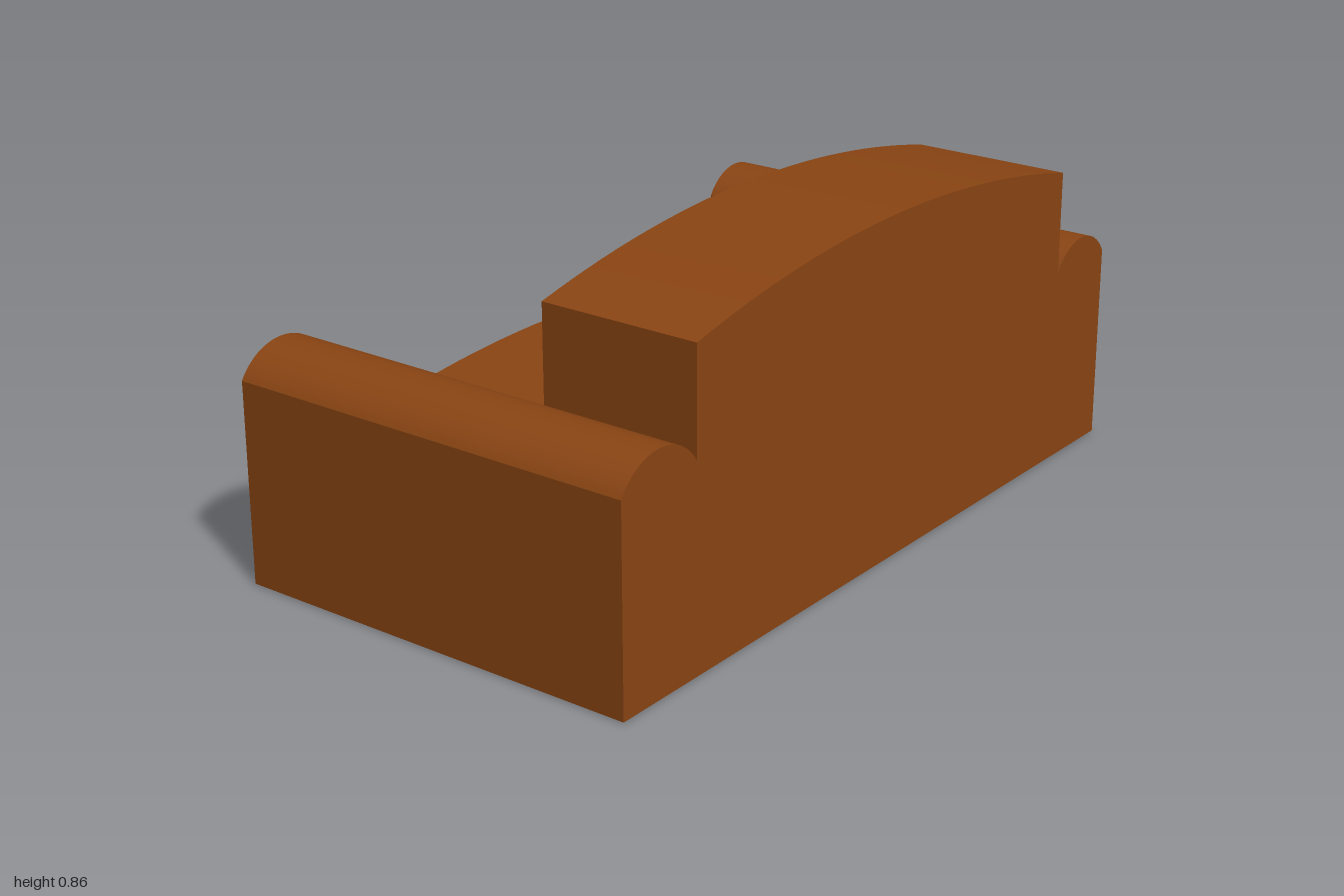
import * as THREE from 'three';
import { toCreasedNormals } from 'three/addons/utils/BufferGeometryUtils.js';

const leather = new THREE.MeshStandardMaterial({ color: 0x8b4513 });
const brass = new THREE.MeshStandardMaterial({ color: 0xb8860b });
const grey = new THREE.MeshStandardMaterial({ color: 0xcccccc });

const HALF_DEPTH = 0.55, BACK_X = 0.13;

// Adds a circular arc bulging upwards by rise between two (z, y) points.
function bulge(shape, z0, y0, z1, y1, rise, steps = 28) {
  const half = Math.abs(z1 - z0) / 2;
  const r = (half * half + rise * rise) / (2 * rise);
  for (let i = 0; i <= steps; i++) {
    const t = i / steps;
    const a = Math.asin(half / r) * (2 * t - 1);
    shape.lineTo(z0 + (z1 - z0) * (0.5 + r * Math.sin(a) / (2 * half)),
      y0 + (y1 - y0) * t + r * Math.cos(a) - (r - rise));
  }
}

// Outline across the sofa: arm, middle part, arm.
function outline(middle) {
  const s = new THREE.Shape();
  s.moveTo(1, 0.002);
  bulge(s, 1, 0.51, 0.745, 0.51, 0.072);
  middle(s);
  bulge(s, -0.77, 0.51, -1, 0.51, 0.065);
  s.lineTo(-1, 0.002);
  return s;
}

// Extrudes a (z, y) outline along x.
function slab(name, shape, x0, x1) {
  const g = new THREE.ExtrudeGeometry(shape, { depth: x1 - x0, bevelEnabled: false });
  g.rotateY(-Math.PI / 2).translate(x1, 0, 0);
  const mesh = new THREE.Mesh(toCreasedNormals(g, 0.3), leather);
  mesh.name = name;
  return mesh;
}

export function createModel() {
  const sofa = new THREE.Group();
  sofa.name = 'sofa';

  // Crowned seat between arms whose inner walls lean outwards at the bottom
  sofa.add(slab('seatAndArms', outline(s => {
    s.lineTo(0.745, 0.38);
    bulge(s, 0.77, 0.265, -0.785, 0.265, 0.085);
    s.lineTo(-0.77, 0.38);
  }), -HALF_DEPTH, BACK_X));

  // Backrest with an arched top
  sofa.add(slab('backrest', outline(s => {
    bulge(s, 0.745, 0.775, -0.77, 0.775, 0.087);
  }), BACK_X, HALF_DEPTH));

  // Underside
  const base = new THREE.Mesh(new THREE.PlaneGeometry(2 * HALF_DEPTH, 2).rotateX(Math.PI / 2), grey);
  base.name = 'underside';
  sofa.add(base);

  // Two rows of buttons on the backrest
  const buttons = new THREE.Group();
  buttons.name = 'buttons';
  const disc = new THREE.CylinderGeometry(0.05, 0.05, 0.02, 32).rotateZ(Math.PI / 2);
  for (const y of [0.75, 0.5]) {
    for (const z of [-0.47, -0.075, 0.31]) {
      const b = new THREE.Mesh(disc, [leather, brass, brass]);
      b.name = 'button';
      b.position.set(BACK_X, y, z);
      buttons.add(b);
    }
  }
  sofa.add(buttons);
  return sofa;
}
